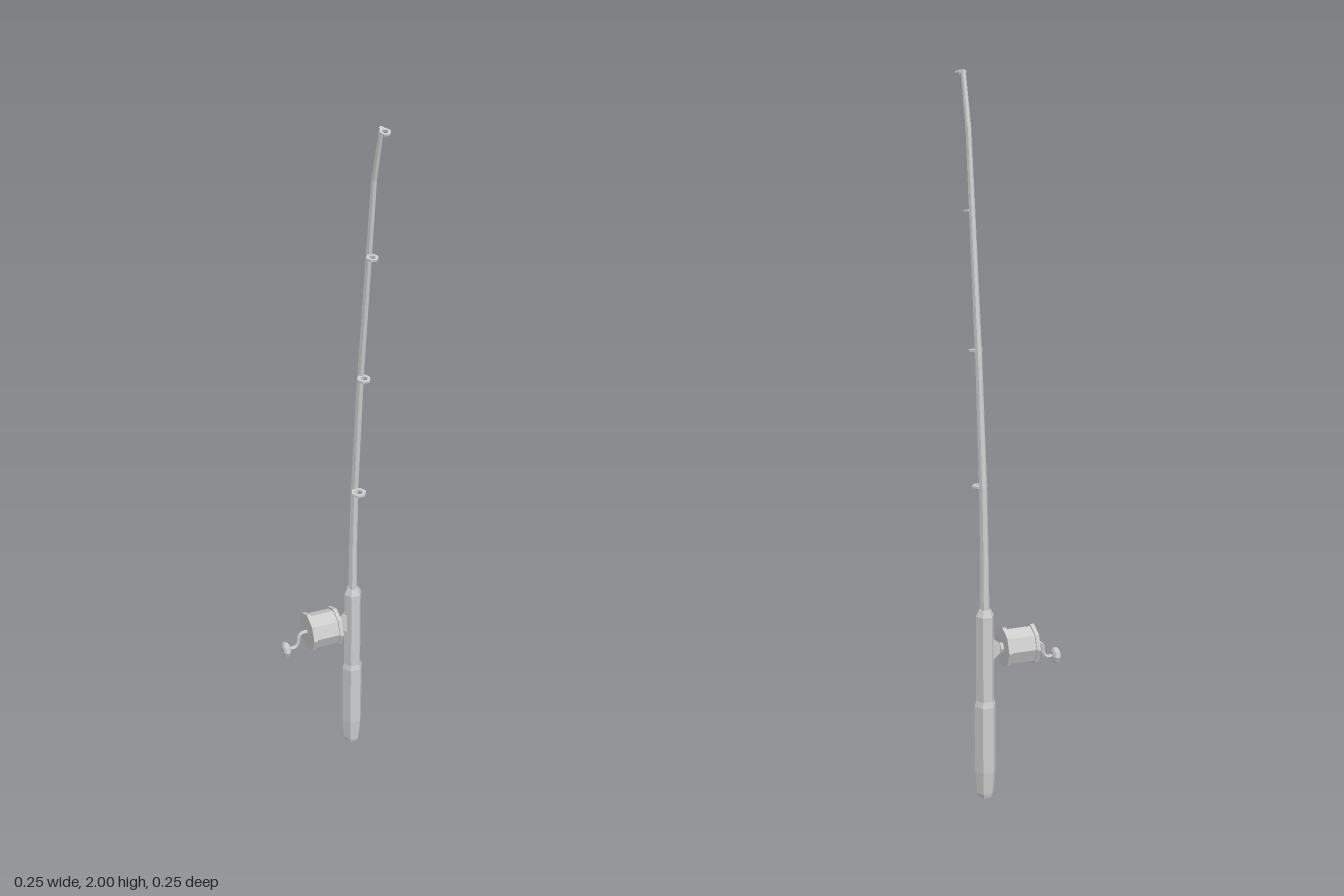
import * as THREE from 'three';

const mat = new THREE.MeshStandardMaterial({ color: 0xcccccc, flatShading: true });
const ROD_X = 0.094, ROD_Z = -0.067, REEL_Y = 0.44;

// Centre line of the bent blank: [y, z, radius]
const blank = [
  [0.53, -0.067, 0.014], [0.7, -0.066, 0.0125], [0.9, -0.058, 0.0115],
  [1.25, -0.027, 0.01], [1.6, 0.016, 0.009], [1.85, 0.047, 0.008], [1.997, 0.087, 0.007],
];

function add(parent, name, geometry, x = 0, y = 0, z = 0) {
  const mesh = new THREE.Mesh(geometry, mat);
  mesh.name = name;
  mesh.position.set(x, y, z);
  parent.add(mesh);
  return mesh;
}

// Turned shape around y, with corners on the x axis when six-sided
function turned(points, sides = 6) {
  return new THREE.LatheGeometry(points.map(([r, y]) => new THREE.Vector2(r, y)), sides, Math.PI / 2);
}

// Drum lying along x
function drum(radius, length, sides = 8) {
  return new THREE.CylinderGeometry(radius, radius, length, sides).rotateZ(Math.PI / 2);
}

// Cylinder rows moved onto the centre line and squared to its direction
function blankGeometry() {
  const n = blank.length - 1;
  const geo = new THREE.CylinderGeometry(1, 1, n, 6, n).rotateY(Math.PI / 2 + Math.PI);
  geo.rotateY(Math.PI);
  const p = geo.attributes.position;
  for (let i = 0; i < p.count; i++) {
    const row = Math.round(p.getY(i) + n / 2);
    const [y, z, r] = blank[row];
    const a = blank[Math.max(row - 1, 0)], b = blank[Math.min(row + 1, n)];
    const slope = (b[1] - a[1]) / (b[0] - a[0]);
    const dz = p.getZ(i) * r;
    p.setXYZ(i, p.getX(i) * r, y - dz * slope, z + dz);
  }
  geo.computeVertexNormals();
  return geo;
}

export function createModel() {
  const model = new THREE.Group();
  model.name = 'fishingRod';

  // Grip with a thicker lower half
  add(model, 'grip', turned([
    [0, 0], [0.021, 0], [0.025, 0.012], [0.031, 0.08], [0.031, 0.275],
    [0.026, 0.292], [0.026, 0.54], [0.017, 0.558], [0, 0.558],
  ]), ROD_X, 0, ROD_Z);

  add(model, 'blank', blankGeometry(), ROD_X);

  // Line guides: [y, z, outer radius, tilt]
  const guides = [
    [0.9, -0.03, 0.022, 0.04], [1.27, -0.003, 0.0195, 0.11],
    [1.638, 0.042, 0.017, 0.14], [1.992, 0.107, 0.0155, 0.26],
  ];
  for (const [y, z, r, tilt] of guides) {
    const inner = r * 0.55, h = 0.003;
    const ring = turned([[inner, -h], [r, -h], [r, h], [inner, h], [inner, -h]]);
    add(model, 'lineGuide', ring, ROD_X, y, z).rotation.x = tilt;
  }

  // Reel
  const reel = new THREE.Group();
  reel.name = 'reel';
  reel.position.set(0, REEL_Y, ROD_Z);
  model.add(reel);
  add(reel, 'spool', drum(0.052, 0.08), -0.0035);
  for (const x of [-0.0445, 0.0375]) add(reel, 'spoolFlange', drum(0.0575, 0.011), x);

  // Mount between reel and grip
  add(reel, 'mountDisc', drum(0.0145, 0.008), 0.047);
  const foot = new THREE.Shape([
    [0.05, -0.011], [0.076, -0.034], [0.076, 0.034], [0.05, 0.011],
  ].map(([x, y]) => new THREE.Vector2(x, y)));
  add(reel, 'reelFoot', new THREE.ExtrudeGeometry(foot, { depth: 0.016, bevelEnabled: false }), 0, 0, -0.008);

  // Bent crank and its knob
  const path = new THREE.CatmullRomCurve3([
    [-0.046, 0], [-0.066, 0], [-0.075, -0.009], [-0.079, -0.034], [-0.088, -0.045], [-0.112, -0.045],
  ].map(([x, y]) => new THREE.Vector3(x, y, 0)));
  add(reel, 'crank', new THREE.TubeGeometry(path, 14, 0.0055, 6), 0, 0, 0);
  const knob = turned([
    [0, -0.011], [0.013, -0.011], [0.021, -0.006], [0.024, 0], [0.021, 0.006], [0.013, 0.011], [0, 0.011],
  ], 8).rotateZ(Math.PI / 2);
  add(reel, 'crankKnob', knob, -0.116, -0.045);

  return model;
}
